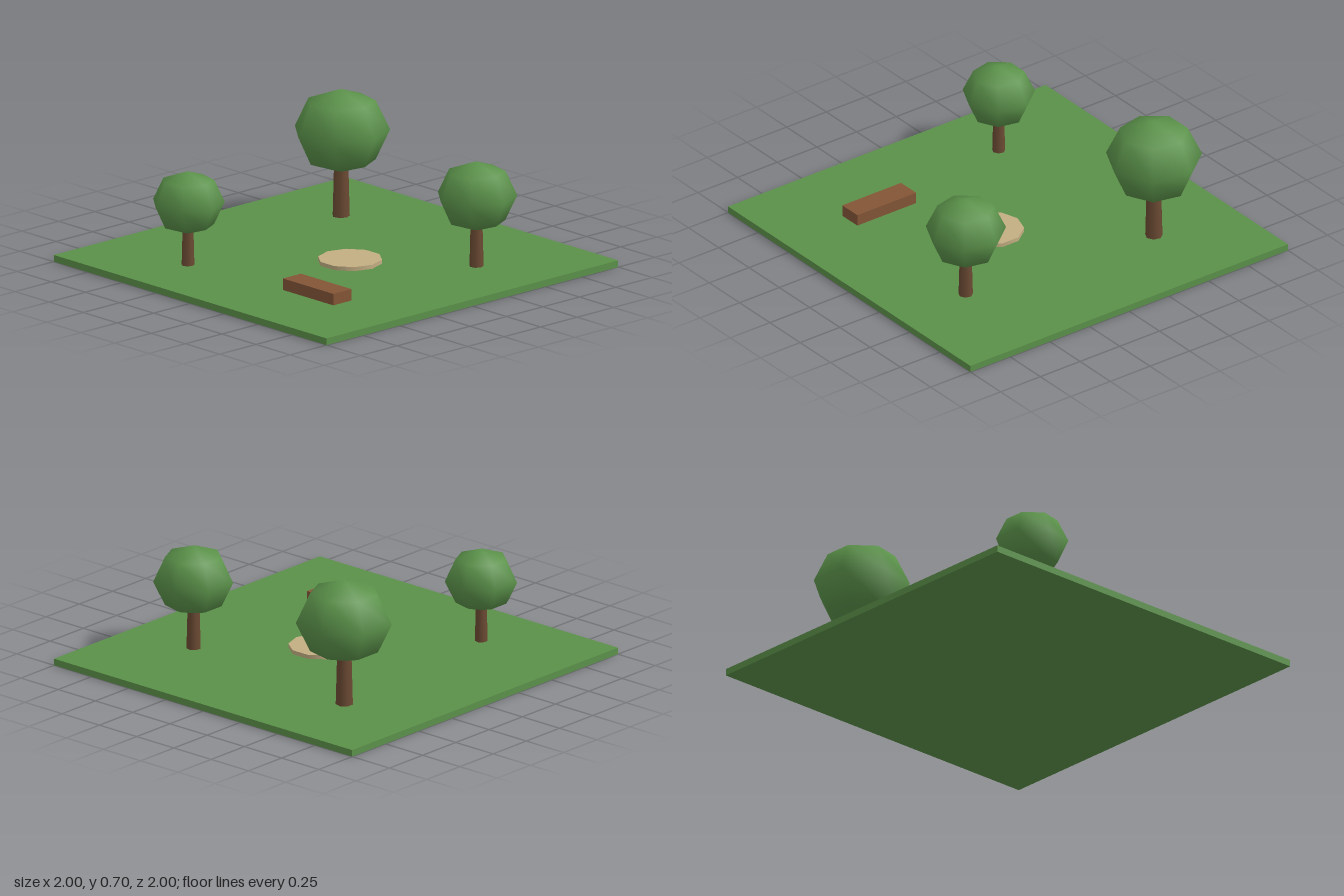
import * as THREE from 'three';

const material = (name, color) => new THREE.MeshStandardMaterial({ name, color });

export function createModel() {
  const grass = material('grass green', 0x5b9149);
  const leaf = material('leaf green', 0x5b924a);
  const bark = material('bark brown', 0x6b4a33);
  const wood = material('bench brown', 0x835536);
  const sand = material('sand', 0xc2ae82);

  const park = new THREE.Group();
  park.name = 'park';
  const add = (parent, name, geometry, mat, x, y, z) => {
    const mesh = new THREE.Mesh(geometry, mat);
    mesh.name = name;
    mesh.position.set(x, y, z);
    parent.add(mesh);
    return mesh;
  };

  // Square lawn
  const groundTop = 0.035;
  add(park, 'lawn', new THREE.BoxGeometry(2, groundTop, 2), grass, 0, groundTop / 2, 0);

  // Ten-sided sand pit, corners pointing along x
  const pit = new THREE.CylinderGeometry(0.163, 0.163, 0.035, 10).rotateY(Math.PI / 2);
  add(park, 'sandPit', pit, sand, 0.103, 0.0385, 0);

  // Plain block bench
  add(park, 'bench', new THREE.BoxGeometry(0.37, 0.07, 0.124), wood, 0.416, 0.06, 0.518);

  // Trees: seven-sided tapered trunk under a slightly squashed, smooth crown
  const trees = [
    { x: -0.521, z: -0.521, r: 0.247, y: 0.48 },
    { x: 0.584, z: -0.416, r: 0.206, y: 0.4 },
    { x: -0.418, z: 0.625, r: 0.186, y: 0.36 },
  ];
  for (const { x, z, r, y } of trees) {
    const tree = new THREE.Group();
    tree.name = 'tree';
    tree.position.set(x, 0, z);
    const trunkBottom = 0.005;
    const height = y - r * 0.5 - trunkBottom;
    const trunk = new THREE.CylinderGeometry(r * 0.145, r * 0.183, height, 7).rotateY(Math.PI / 2);
    add(tree, 'trunk', trunk, bark, 0, trunkBottom + height / 2, 0);
    const crown = new THREE.SphereGeometry(r, 7, 4).rotateY(Math.PI).scale(1, 0.88, 1);
    add(tree, 'crown', crown, leaf, 0, y, 0);
    park.add(tree);
  }
  return park;
}
